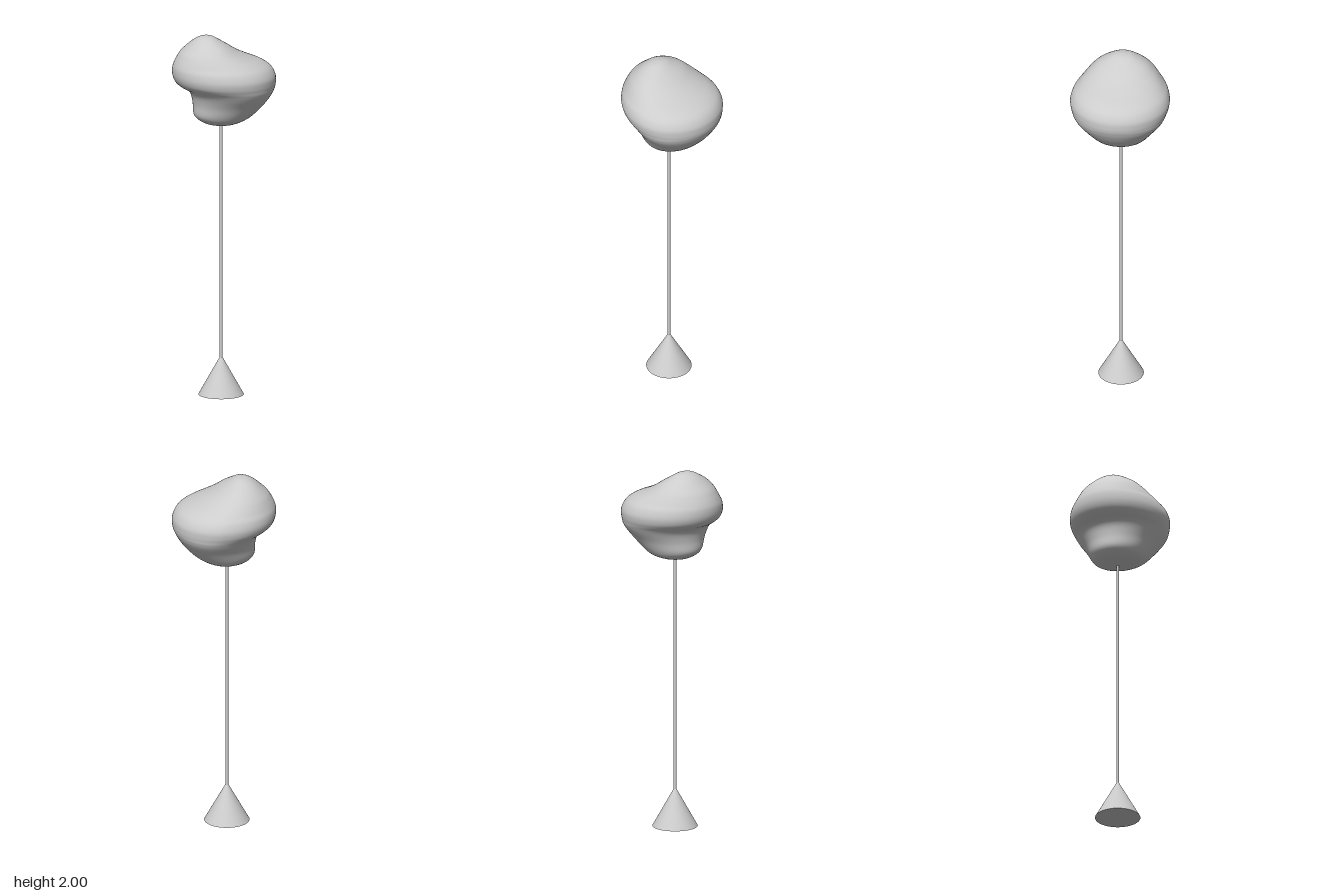
import * as THREE from 'three';
import { mergeVertices } from 'three/addons/utils/BufferGeometryUtils.js';

const STEM_X = -0.017;

// Blob slices from top to bottom: height, least x, greatest x, half depth
const SLICES = [
  [2.0, -0.098, -0.098, 0],
  [1.993, -0.135, -0.062, 0.045],
  [1.975, -0.168, -0.03, 0.085],
  [1.945, -0.203, 0.02, 0.137],
  [1.91, -0.24, 0.075, 0.175],
  [1.88, -0.26, 0.138, 0.203],
  [1.85, -0.275, 0.21, 0.23],
  [1.82, -0.283, 0.254, 0.255],
  [1.78, -0.281, 0.277, 0.269],
  [1.745, -0.266, 0.28, 0.266],
  [1.72, -0.237, 0.277, 0.257],
  [1.7, -0.202, 0.27, 0.248],
  [1.67, -0.18, 0.255, 0.23],
  [1.62, -0.17, 0.22, 0.193],
  [1.565, -0.167, 0.165, 0.158],
  [1.535, -0.145, 0.12, 0.132],
  [1.513, -0.105, 0.07, 0.088],
  [1.503, -0.06, 0.03, 0.045],
  [1.5, -0.012, -0.012, 0],
];

// Smooth closed skin through egg-shaped horizontal slices
function blobGeometry(rows = 90, around = 80) {
  const curve = (f) => new THREE.CatmullRomCurve3(SLICES.map(f), false, 'catmullrom', 0.5);
  const left = curve(([y, xl]) => new THREE.Vector3(xl, y, 0));
  const right = curve(([y, , xr, z]) => new THREE.Vector3(xr, y, z));
  const positions = [];
  const index = [];
  for (let i = 0; i <= rows; i++) {
    const l = left.getPoint(i / rows);
    const r = right.getPoint(i / rows);
    const widest = (l.x + r.x) / 2 + 0.09 * (r.x - l.x) / 2;
    for (let j = 0; j < around; j++) {
      const a = (j / around) * Math.PI * 2;
      const c = Math.cos(a);
      const reach = c > 0 ? r.x - widest : widest - l.x;
      positions.push(widest + reach * c, l.y, r.z * Math.sin(a));
      if (i < rows) {
        const p = i * around + j;
        const q = i * around + (j + 1) % around;
        if (i > 0) index.push(p, q, p + around);
        if (i < rows - 1) index.push(q, q + around, p + around);
        else index.push(p, q, p + around);
      }
    }
  }
  let geometry = new THREE.BufferGeometry();
  geometry.setAttribute('position', new THREE.Float32BufferAttribute(positions, 3));
  geometry.setIndex(index.slice());
  geometry = mergeVertices(geometry, 1e-5);
  geometry.computeVertexNormals();
  return geometry;
}

export function createModel() {
  const group = new THREE.Group();
  const grey = new THREE.MeshStandardMaterial({ color: 0xcccccc });
  grey.name = 'light grey';

  const add = (name, geometry, x = 0, y = 0) => {
    const mesh = new THREE.Mesh(geometry, grey);
    mesh.name = name;
    mesh.position.set(x, y, 0);
    group.add(mesh);
  };

  // Conical foot, thin stem and the rounded lobed head
  add('base', new THREE.ConeGeometry(0.123, 0.22, 64), STEM_X, 0.11);
  add('stem', new THREE.CylinderGeometry(0.008, 0.008, 1.4, 24), STEM_X, 0.85);
  add('blob', blobGeometry());
  return group;
}
